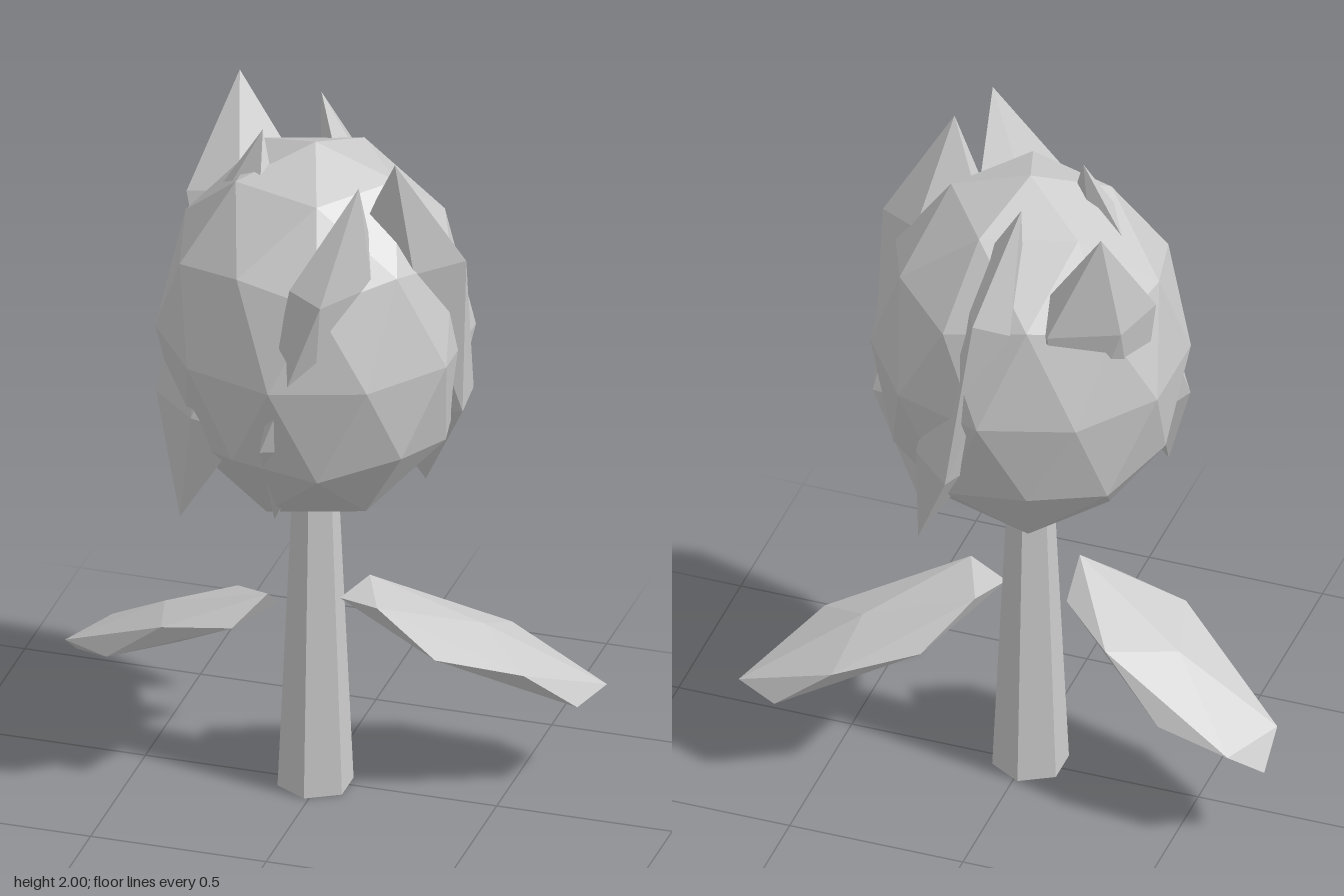
import * as THREE from 'three';

const material = new THREE.MeshStandardMaterial({ color: 0xcccccc, flatShading: true });

// Unit icosahedron turned so that one vertex points straight up
function poleBall(detail) {
  return new THREE.IcosahedronGeometry(1, detail).rotateZ(-Math.atan(2 / (1 + Math.sqrt(5))));
}

function addPart(parent, name, geometry, position, scale = [1, 1, 1], rotation = [0, 0, 0]) {
  const mesh = new THREE.Mesh(geometry, material);
  mesh.name = name;
  mesh.position.set(...position);
  mesh.scale.set(...scale);
  mesh.rotation.set(...rotation, 'YXZ');
  parent.add(mesh);
  return mesh;
}

export function createModel() {
  const model = new THREE.Group();
  model.name = 'flower';

  // Everything grows around the stem axis, slightly off the centre
  const plant = new THREE.Group();
  plant.name = 'plant';
  plant.position.set(-0.013, 0, 0.009);
  model.add(plant);

  // Tapered six-sided stem, ending inside the bud
  addPart(plant, 'stem', new THREE.CylinderGeometry(0.06, 0.106, 1, 6), [0, 0.5, 0]);

  // Faceted egg-shaped bud
  addPart(plant, 'bud', poleBall(1), [0, 1.4, 0], [0.436, 0.56, 0.436]);

  // Five tilted blade-like petals pushed into the bud
  const blade = poleBall(0);
  const petals = new THREE.Group();
  petals.name = 'petals';
  plant.add(petals);
  for (let i = 0; i < 5; i++) {
    const a = (i / 5) * Math.PI * 2;
    addPart(petals, 'petal', blade,
      [0.27 * Math.cos(a), 1.45, 0.27 * Math.sin(a)],
      [0.2, 0.567, 0.1],
      [0.25, a, 0]);
  }

  // Two drooping flat leaves
  const leafSize = [0.44, 0.06, 0.19];
  addPart(plant, 'leftLeaf', blade, [0.408, 0.427, -0.134], leafSize, [0, 0.4, -0.46]);
  addPart(plant, 'rightLeaf', blade, [-0.41, 0.425, -0.005], leafSize, [0, -0.4, 0.46]);

  return model;
}
